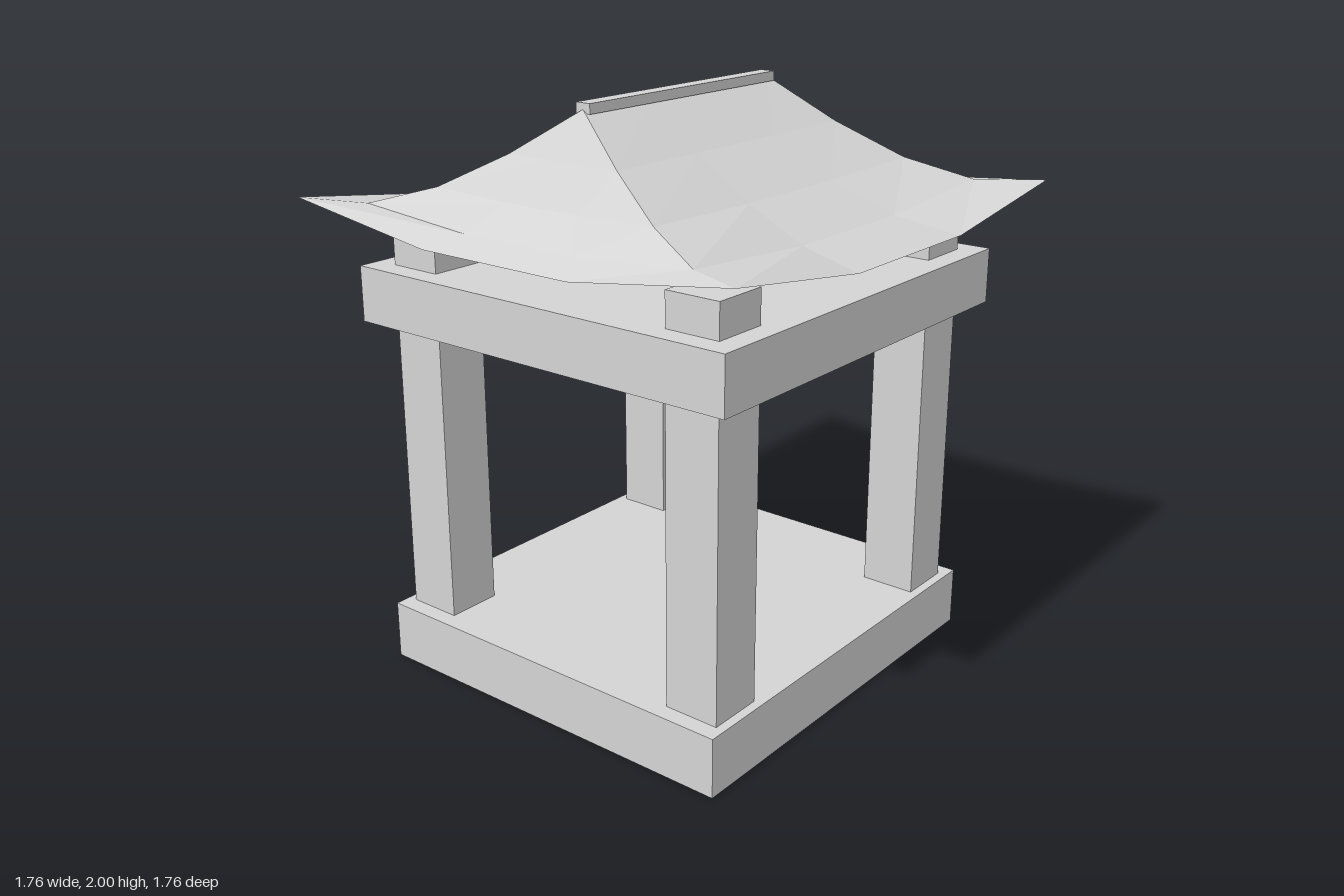
import * as THREE from 'three';

export function createModel() {
  const group = new THREE.Group();
  group.name = 'pavilion';

  const stone = new THREE.MeshStandardMaterial({ color: 0xd4d4d4 });
  stone.name = 'pale stone';
  const roofStone = stone.clone();
  roofStone.name = 'pale roof';
  roofStone.side = THREE.DoubleSide;
  roofStone.flatShading = true;

  // Box given by its full width and depth, and its bottom and top heights
  function addBox(name, w, d, y0, y1, x = 0, z = 0) {
    const mesh = new THREE.Mesh(new THREE.BoxGeometry(w, y1 - y0, d), stone);
    mesh.position.set(x, (y0 + y1) / 2, z);
    mesh.name = name;
    group.add(mesh);
  }

  addBox('basePlinth', 1.46, 1.405, 0, 0.205);
  addBox('topSlab', 1.5, 1.5, 1.24, 1.43);
  addBox('roofRidge', 0.95, 0.056, 1.967, 2);

  // Four square posts that pass through the slab
  for (const sx of [-1, 1]) {
    for (const sz of [-1, 1]) {
      addBox(`${sz > 0 ? 'front' : 'back'}${sx > 0 ? 'Left' : 'Right'}Post`,
        0.195, 0.195, 0.2, 1.545, sx * 0.573, sz * 0.573);
    }
  }

  // Curved hip roof: rings from ridge to eaves [half width, half depth, height], lifted at the corners
  const rings = [
    [0.475, 0, 1.98], [0.575, 0.22, 1.834], [0.675, 0.44, 1.71],
    [0.775, 0.66, 1.62], [0.88, 0.88, 1.58],
  ];
  const corners = [[-1, 1], [1, 1], [1, -1], [-1, -1]];
  const segments = 3;

  function roofPoint(ring, side, step) {
    const [hx, hz, y] = rings[ring];
    const a = corners[side], b = corners[(side + 1) % 4];
    const t = step / segments;
    const lift = step % segments === 0 ? 0.083 * (ring / 4) ** 3 : 0;
    return [hx * (a[0] + (b[0] - a[0]) * t), y + lift, hz * (a[1] + (b[1] - a[1]) * t)];
  }

  const positions = [];
  for (let side = 0; side < 4; side++) {
    for (let r = 0; r < rings.length - 1; r++) {
      for (let s = 0; s < segments; s++) {
        const a = roofPoint(r + 1, side, s), b = roofPoint(r + 1, side, s + 1);
        const c = roofPoint(r, side, s + 1), d = roofPoint(r, side, s);
        positions.push(...a, ...b, ...c);
        // The end slopes close to a point at the ridge
        if (r > 0 || side % 2 === 0) positions.push(...a, ...c, ...d);
      }
    }
  }
  const roofGeometry = new THREE.BufferGeometry();
  roofGeometry.setAttribute('position', new THREE.Float32BufferAttribute(positions, 3));
  roofGeometry.computeVertexNormals();
  const roof = new THREE.Mesh(roofGeometry, roofStone);
  roof.name = 'roof';
  group.add(roof);

  return group;
}
